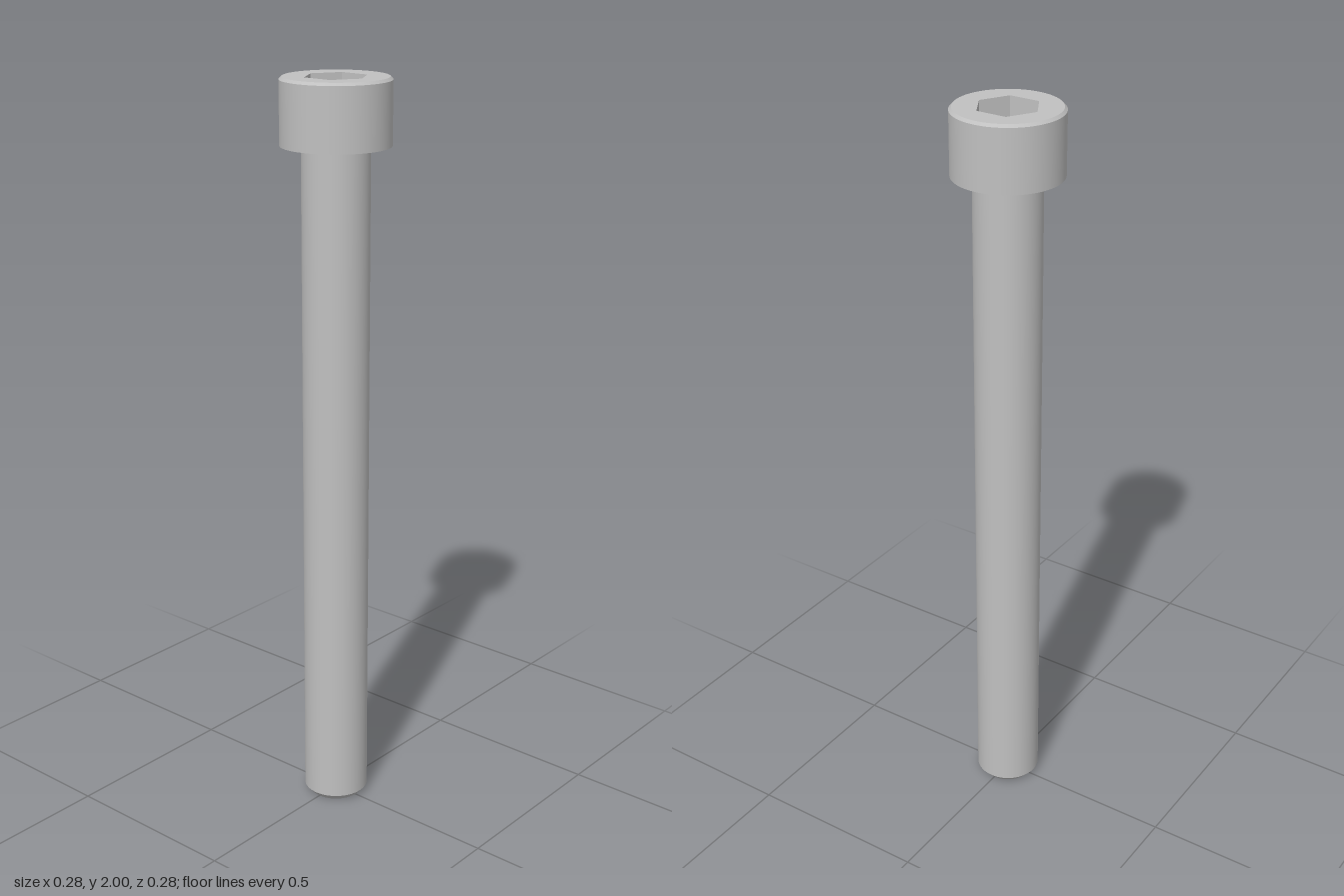
import * as THREE from 'three';
import { mergeGeometries } from 'three/addons/utils/BufferGeometryUtils.js';

const SEGMENTS = 96;
const HEAD_R = 0.142, HEAD_Y = 1.83, TOP_Y = 2, TOP_BEVEL = 0.007;
const SHANK_R = 0.088, TIP_R = 0.072, TIP_H = 0.018;
const HEX_R = 0.083, HEX_DEPTH = 0.09;

// Revolve each profile segment separately so the edges between them stay sharp
function turned(profile) {
  const bands = [];
  for (let i = 0; i < profile.length - 1; i++) {
    const pair = [profile[i], profile[i + 1]].map(([r, y]) => new THREE.Vector2(r, y));
    bands.push(new THREE.LatheGeometry(pair, SEGMENTS));
  }
  return mergeGeometries(bands);
}

// Points of a regular polygon with its first corner on +x
function ring(radius, sides) {
  return Array.from({ length: sides }, (_, i) => {
    const a = (i / sides) * Math.PI * 2;
    return new THREE.Vector2(Math.cos(a) * radius, Math.sin(a) * radius);
  });
}

export function createModel() {
  const steel = new THREE.MeshStandardMaterial({ color: 0xc0c0c0 });
  steel.name = 'steel grey';

  const model = new THREE.Group();
  model.name = 'socketHeadScrew';
  const add = (name, geometry) => {
    const mesh = new THREE.Mesh(geometry, steel);
    mesh.name = name;
    model.add(mesh);
  };

  // Shank with chamfered tip
  add('shank', turned([[0, 0], [TIP_R, 0], [SHANK_R, TIP_H], [SHANK_R, HEAD_Y]]));

  // Head underside, side and bevelled rim
  add('head', turned([
    [SHANK_R, HEAD_Y], [HEAD_R, HEAD_Y],
    [HEAD_R, TOP_Y - TOP_BEVEL], [HEAD_R - TOP_BEVEL, TOP_Y],
  ]));

  // Flat top face with a hexagonal opening
  const face = new THREE.Shape(ring(HEAD_R - TOP_BEVEL, SEGMENTS));
  face.holes.push(new THREE.Path(ring(HEX_R, 6).reverse()));
  add('headTop', new THREE.ShapeGeometry(face).rotateX(-Math.PI / 2).translate(0, TOP_Y, 0));

  // Socket walls: a mirrored hexagonal tube, so its faces look inward
  const walls = new THREE.CylinderGeometry(HEX_R, HEX_R, HEX_DEPTH, 6, 1, true)
    .rotateY(Math.PI / 6)
    .scale(-1, 1, 1)
    .translate(0, TOP_Y - HEX_DEPTH / 2, 0)
    .toNonIndexed();
  walls.computeVertexNormals();
  add('socketWalls', walls);

  // Socket floor
  add('socketFloor', new THREE.CircleGeometry(HEX_R, 6)
    .rotateX(-Math.PI / 2).translate(0, TOP_Y - HEX_DEPTH, 0));

  return model;
}
